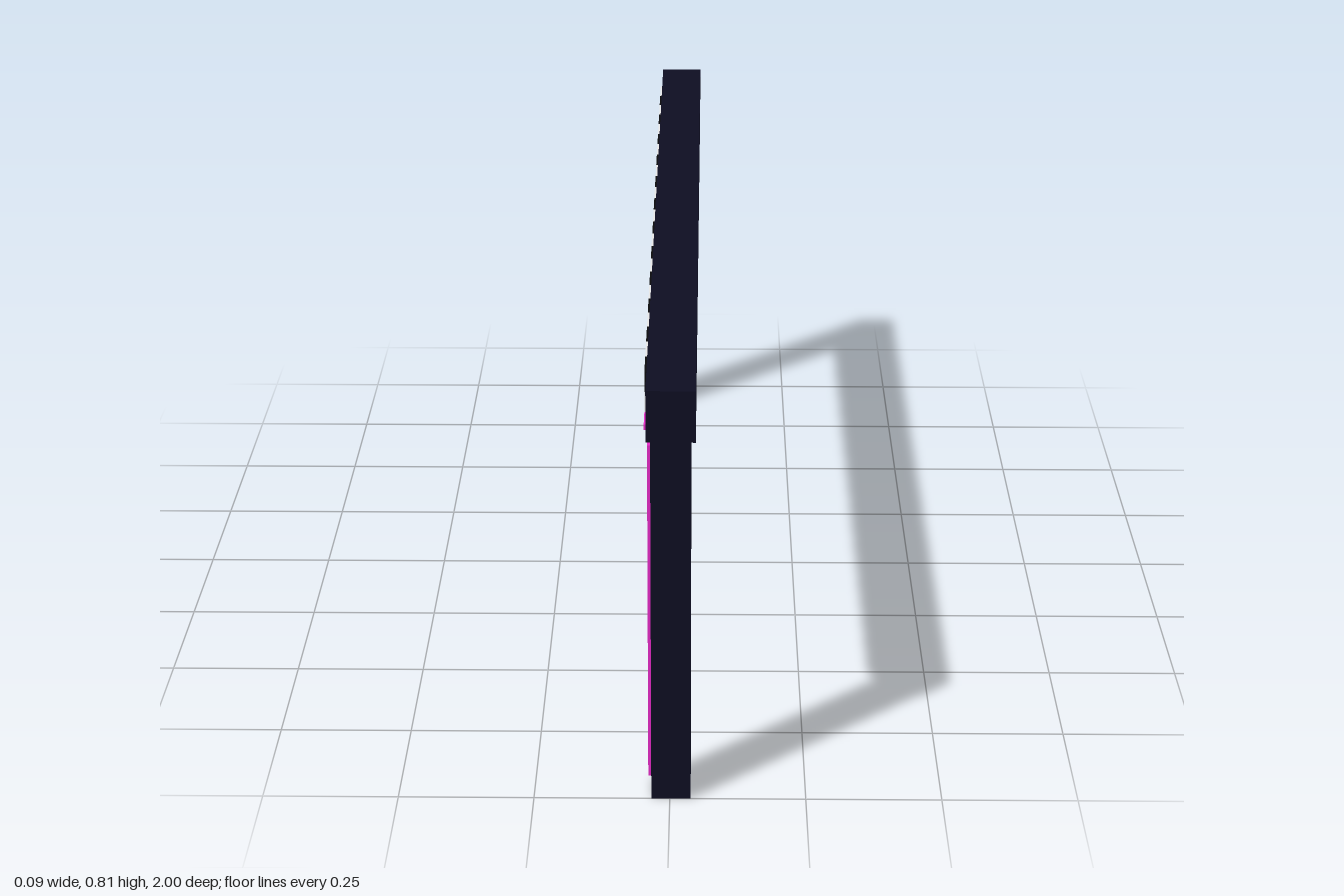
import * as THREE from 'three';

const mat = (name, color) => {
  const m = new THREE.MeshStandardMaterial({ color });
  m.name = name;
  return m;
};

export function createModel() {
  const navy = mat('navy', 0x0e0e22);
  const magenta = mat('magenta', 0xf02cd0);
  const white = mat('white', 0xf2f2f2);
  const black = mat('black', 0x0a0a0c);

  const gate = new THREE.Group();
  gate.name = 'finishGate';

  // Box given by its size and centre
  const box = (name, material, size, pos, parent = gate) => {
    const mesh = new THREE.Mesh(new THREE.BoxGeometry(...size), material);
    mesh.name = name;
    mesh.position.set(...pos);
    parent.add(mesh);
  };

  // Cross beam
  box('beam', navy, [0.088, 0.097, 2], [0.002, 0.7615, 0]);

  // Posts with a vertical light strip on the -x face
  for (const [side, s] of [['front', 1], ['back', -1]]) {
    box(side + 'Post', navy, [0.072, 0.713, 0.072], [0.002, 0.3565, s * 0.964]);
    box(side + 'PostLight', magenta, [0.006, 0.663, 0.02], [-0.037, 0.3645, s * 0.964]);
  }

  // Light strip below the beam's edge
  box('beamLight', magenta, [0.006, 0.011, 1.83], [-0.044, 0.706, 0]);

  // Two-row chequered band on the beam's -x face
  const band = new THREE.Group();
  band.name = 'chequeredBand';
  gate.add(band);
  const columns = 24, w = 0.074, h = 0.0385;
  for (let row = 0; row < 2; row++) {
    for (let i = 0; i < columns; i++) {
      const light = (i + row) % 2 === 0;
      box(light ? 'whiteSquare' : 'blackSquare', light ? white : black, [0.004, h, w],
        [-0.044, 0.7815 - row * h, (i - (columns - 1) / 2) * w], band);
    }
  }
  return gate;
}
